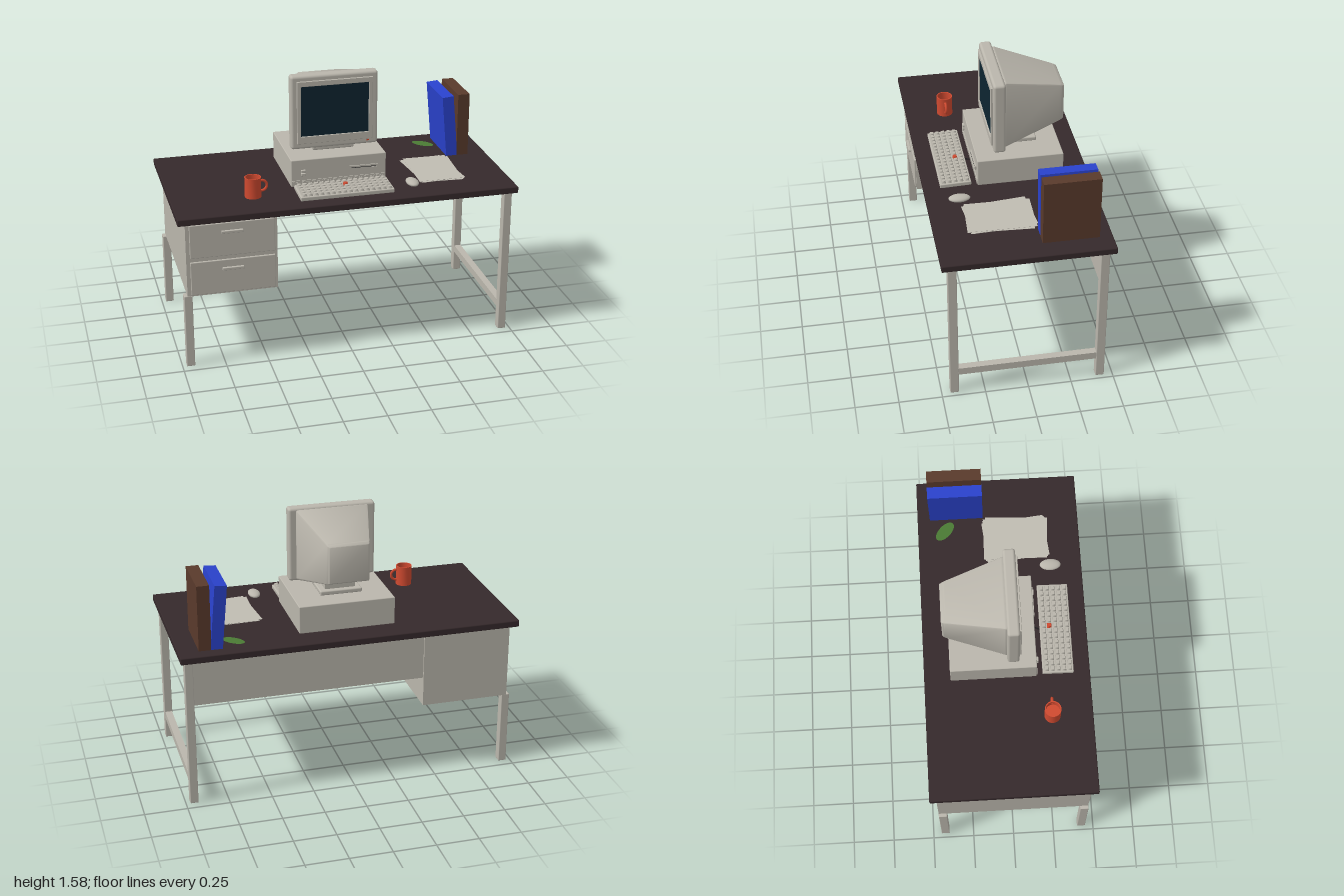
import * as THREE from 'three';
import { mergeGeometries, toCreasedNormals } from 'three/addons/utils/BufferGeometryUtils.js';
import { RoundedBoxGeometry } from 'three/addons/geometries/RoundedBoxGeometry.js';

const mat = (name, color, side = THREE.FrontSide) => {
  const m = new THREE.MeshStandardMaterial({ color, side });
  m.name = name;
  return m;
};

export function createModel() {
  const beige = mat('beige', 0xbab6ac);
  const paper = mat('paper', 0xc0bcb2);
  const darkWood = mat('dark wood', 0x35292b);
  const glass = mat('screen glass', 0x0d2430);
  const blue = mat('blue', 0x2a42cc);
  const brown = mat('brown', 0x593a2b);
  const red = mat('red', 0xd04a30, THREE.DoubleSide);
  const green = mat('green', 0x4a7a34, THREE.DoubleSide);
  const black = mat('black', 0x1c1c1e);

  const model = new THREE.Group();
  const group = (name, parent = model) => {
    const g = new THREE.Group();
    g.name = name;
    parent.add(g);
    return g;
  };
  const add = (parent, name, geo, material, x = 0, y = 0, z = 0) => {
    const m = new THREE.Mesh(geo, material);
    m.name = name;
    m.position.set(x, y, z);
    parent.add(m);
    return m;
  };
  // Box given by its limits on each axis, optionally with rounded edges
  const box = (parent, name, material, [x0, x1], [y0, y1], [z0, z1], r = 0) => {
    const s = [x1 - x0, y1 - y0, z1 - z0];
    const geo = r ? new RoundedBoxGeometry(...s, 2, r) : new THREE.BoxGeometry(...s);
    return add(parent, name, geo, material, (x0 + x1) / 2, (y0 + y1) / 2, (z0 + z1) / 2);
  };

  // Desk
  const desk = group('desk');
  box(desk, 'deskTop', darkWood, [-1, 1], [0.9, 0.94], [-0.485, 0.485], 0.006);
  for (const [z0, z1] of [[0.4, 0.45], [-0.45, -0.4]]) {
    box(desk, 'rightLeg', beige, [0.927, 0.975], [0, 0.9], [z0, z1], 0.004);
    box(desk, 'leftLeg', beige, [-0.975, -0.927], [0, 0.45], [z0, z1], 0.004);
  }
  box(desk, 'sideStretcher', beige, [0.93, 0.972], [0.13, 0.175], [-0.4, 0.4]);
  box(desk, 'backPanel', beige, [-0.43, 0.93], [0.623, 0.9], [-0.44, -0.42]);

  // Drawer cabinet
  const cabinet = group('drawerCabinet', desk);
  box(cabinet, 'cabinetBody', beige, [-0.955, -0.43], [0.447, 0.9], [-0.45, 0.448]);
  for (const [y0, y1] of [[0.685, 0.887], [0.457, 0.66]]) {
    box(cabinet, 'drawerFront', beige, [-0.933, -0.445], [y0, y1], [0.44, 0.459], 0.004);
    const hy = y1 - 0.053;
    box(cabinet, 'drawerHandle', beige, [-0.752, -0.628], [hy - 0.008, hy + 0.008], [0.455, 0.473], 0.003);
  }

  // Computer case
  const computer = group('computerCase');
  box(computer, 'caseBody', beige, [-0.285, 0.285], [0.94, 1.105], [-0.33, 0.172], 0.005);
  box(computer, 'frontLedge', beige, [-0.28, 0.28], [0.974, 0.979], [0.17, 0.177]);
  for (let i = 0; i < 30; i++) {
    const x = -0.27 + i * 0.0186;
    box(computer, 'ventRib', beige, [x - 0.006, x + 0.006], [0.948, 0.97], [0.17, 0.176]);
  }
  box(computer, 'diskSlot', beige, [0.06, 0.237], [1.018, 1.042], [0.17, 0.179]);
  box(computer, 'diskOpening', black, [0.075, 0.222], [1.029, 1.032], [0.175, 0.1795]);
  box(computer, 'diskEject', beige, [0.195, 0.225], [1.02, 1.026], [0.175, 0.184]);
  for (const y of [1.016, 1.036])
    box(computer, 'powerButton', beige, [-0.228, -0.2], [y - 0.008, y + 0.008], [0.17, 0.185], 0.003);

  // Monitor
  const monitor = group('monitor');
  box(monitor, 'swivelFoot', beige, [-0.125, 0.125], [1.105, 1.132], [-0.2, 0.04], 0.008);
  box(monitor, 'neck', beige, [-0.09, 0.09], [1.125, 1.19], [-0.17, 0.02]);
  box(monitor, 'bezel', beige, [-0.26, 0.26], [1.132, 1.578], [0.002, 0.073], 0.016);
  const rect = (S, x, y0, y1) => new S([[-x, y0], [x, y0], [x, y1], [-x, y1]].map(p => new THREE.Vector2(...p)));
  const rim = rect(THREE.Shape, 0.224, 1.17, 1.545);
  rim.holes.push(rect(THREE.Path, 0.205, 1.21, 1.518));
  add(monitor, 'screenFrame', new THREE.ExtrudeGeometry(rim,
    { depth: 0.014, bevelEnabled: true, bevelSize: 0.002, bevelThickness: 0.002, bevelSegments: 1 }), beige, 0, 0, 0.068);
  box(monitor, 'screen', glass, [-0.205, 0.205], [1.208, 1.52], [0.07, 0.077]);
  box(monitor, 'powerLight', red, [0.192, 0.208], [1.154, 1.161], [0.07, 0.078]);

  // Tube housing: a rounded box narrowed towards the back
  const housing = new RoundedBoxGeometry(1, 1, 0.38, 4, 0.03);
  const p = housing.attributes.position;
  const lerp = THREE.MathUtils.lerp;
  for (let i = 0; i < p.count; i++) {
    const z = p.getZ(i) - 0.17;
    const t = Math.max(0, -z / 0.36);
    const low = lerp(1.137, 1.235, t), high = lerp(1.568, 1.463, t);
    p.setXYZ(i, p.getX(i) * lerp(0.435, 0.24, t), lerp(low, high, p.getY(i) + 0.5), z);
  }
  add(monitor, 'tubeHousing', toCreasedNormals(housing, 0.6), beige);

  // Keyboard
  const keyboard = group('keyboard');
  keyboard.position.set(0, 0.941, 0.298);
  keyboard.rotation.x = 0.03;
  box(keyboard, 'keyboardBody', beige, [-0.277, 0.277], [0, 0.025], [-0.091, 0.091], 0.005);
  const keyGeo = (x, z) => {
    const g = new THREE.CylinderGeometry(0.013, 0.0195, 0.015, 4, 1);
    return g.rotateY(Math.PI / 4).scale(1.1, 1, 1).translate(x, 0.031, z);
  };
  const keys = [];
  for (let r = 0; r < 5; r++)
    for (let c = 0; c < 16; c++) {
      const x = -0.252 + c * 0.0336, z = -0.068 + r * 0.034;
      if (r === 1 && c === 8) add(keyboard, 'redKey', keyGeo(x, z).toNonIndexed(), red);
      else keys.push(keyGeo(x, z));
    }
  add(keyboard, 'keys', mergeGeometries(keys), beige);
  const cable = new THREE.CatmullRomCurve3([[0, 0.95, 0.215], [0.01, 0.945, 0.195], [0.025, 0.95, 0.165]]
    .map(a => new THREE.Vector3(...a)));
  add(model, 'keyboardCable', new THREE.TubeGeometry(cable, 8, 0.004, 6), black);

  // Mouse
  const mouse = add(model, 'mouse', new THREE.SphereGeometry(1, 20, 12), beige, 0.41, 0.956, 0.298);
  mouse.scale.set(0.036, 0.018, 0.063);

  // Loose paper sheets
  const sheets = group('paperSheets');
  [[0.6, 0.098, 0.03], [0.605, 0.105, -0.06], [0.593, 0.1, 0.1], [0.598, 0.095, -0.02]].forEach(([x, z, a], i) => {
    const s = add(sheets, 'sheet', new THREE.BoxGeometry(0.265, 0.0012, 0.375), paper, x, 0.9412 + i * 0.0016, z);
    s.rotation.y = a;
  });

  // Books
  const books = group('books');
  box(books, 'uprightBook', brown, [0.812, 0.884], [0.94, 1.328], [-0.41, -0.09]);
  const lean = group('leaningBook', books);
  lean.position.set(0.817, 0.941, -0.25);
  lean.rotation.z = 0.09;
  box(lean, 'blueBook', blue, [-0.07, 0], [0, 0.383], [-0.16, 0.16]);

  // Leaf lying on the desk
  const leaf = add(model, 'leaf', new THREE.CircleGeometry(1, 24).rotateX(-Math.PI / 2), green, 0.668, 0.943, -0.322);
  leaf.scale.set(0.072, 1, 0.037);
  leaf.rotation.y = -0.75;

  // Mug
  const mug = group('mug');
  mug.position.set(-0.527, 0.94, 0.248);
  const profile = [[0, 0], [0.048, 0], [0.048, 0.12], [0.042, 0.12], [0.042, 0.07], [0, 0.07]];
  add(mug, 'mugBody', toCreasedNormals(
    new THREE.LatheGeometry(profile.map(a => new THREE.Vector2(...a)), 20), 0.6), red);
  add(mug, 'mugHandle', new THREE.TorusGeometry(0.032, 0.008, 8, 16, Math.PI * 1.2)
    .rotateZ(-Math.PI * 0.6), red, 0.05, 0.064, 0);

  return model;
}
